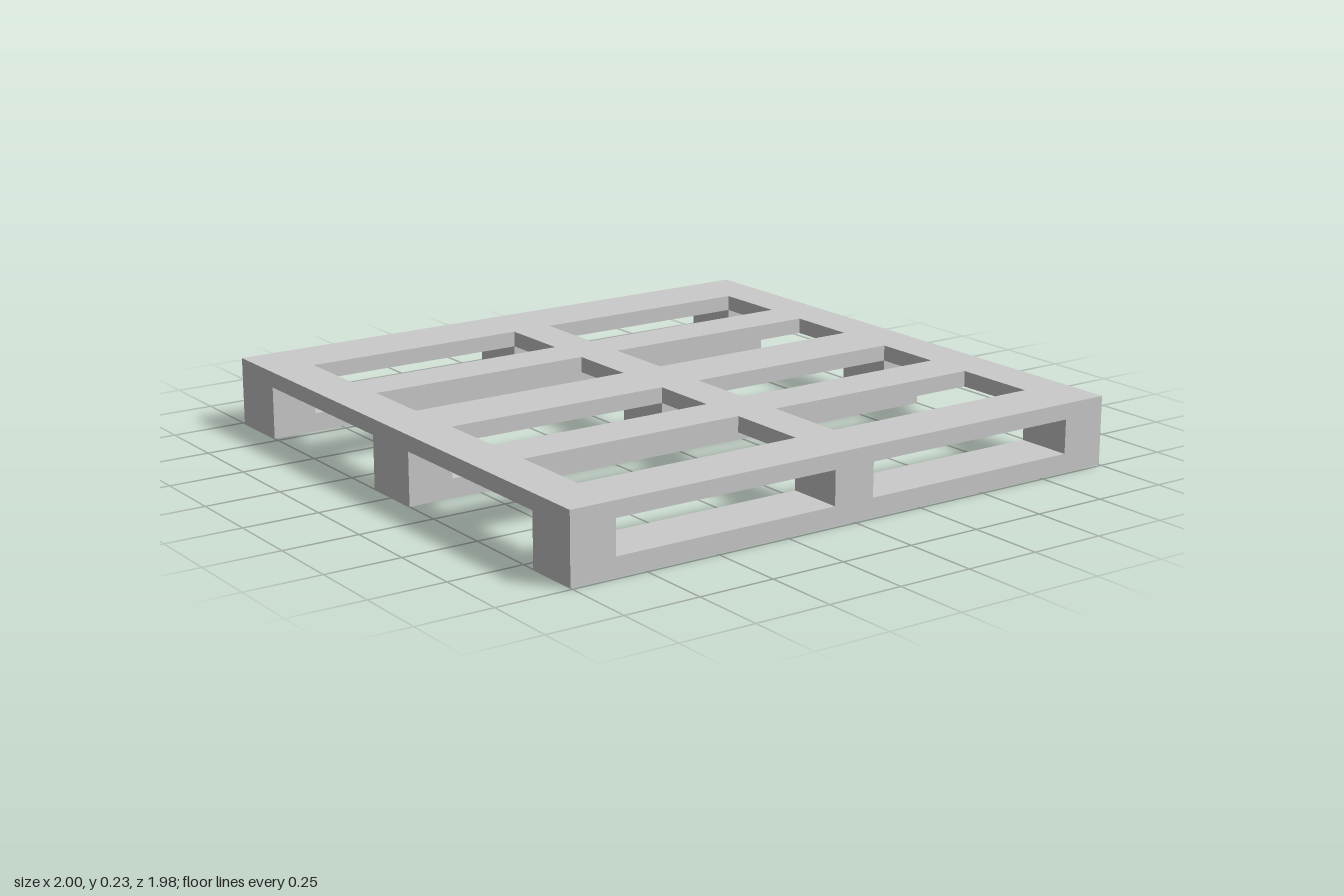
import * as THREE from 'three';

const TOP = 0.226, DECK = 0.174, BOARD = 0.062; // deck top, deck underside, bottom board top
const W = 1, D = 0.99;                          // half width, half depth
const OUT = 0.848, IN = 0.072;                  // opening edges in x

function rectPoints(x0, x1, y0, y1) {
  return [[x0, y0], [x1, y0], [x1, y1], [x0, y1]].map(([x, y]) => new THREE.Vector2(x, y));
}

export function createModel() {
  const group = new THREE.Group();
  const material = new THREE.MeshStandardMaterial({ color: 0xcccccc, flatShading: true });
  const add = (name, geometry) => {
    const mesh = new THREE.Mesh(geometry, material);
    mesh.name = name;
    group.add(mesh);
  };

  // Top deck: one slab with two columns of four openings (shape y is -z)
  const deck = new THREE.Shape(rectPoints(-W, W, -D, D));
  for (const [z0, z1] of [[-0.773, -0.514], [-0.354, -0.105], [0.109, 0.35], [0.515, 0.8]]) {
    for (const [x0, x1] of [[-OUT, -IN], [IN, OUT]]) {
      deck.holes.push(new THREE.Path(rectPoints(x0, x1, -z1, -z0)));
    }
  }
  const deckGeometry = new THREE.ExtrudeGeometry(deck, { depth: TOP - DECK, bevelEnabled: false });
  deckGeometry.rotateX(-Math.PI / 2).translate(0, DECK, 0);
  add('topDeck', deckGeometry);

  // Runners: bottom board with three blocks rising to the deck
  const profile = [
    [-W, 0], [W, 0], [W, DECK], [OUT, DECK], [OUT, BOARD], [IN, BOARD], [IN, DECK],
    [-IN, DECK], [-IN, BOARD], [-OUT, BOARD], [-OUT, DECK], [-W, DECK],
  ].map(([x, y]) => new THREE.Vector2(x, y));
  const runners = { frontRunner: [0.8, D], middleRunner: [-0.105, 0.109], backRunner: [-D, -0.773] };
  for (const [name, [z0, z1]] of Object.entries(runners)) {
    const geometry = new THREE.ExtrudeGeometry(new THREE.Shape(profile), { depth: z1 - z0, bevelEnabled: false });
    add(name, geometry.translate(0, 0, z0));
  }

  return group;
}
